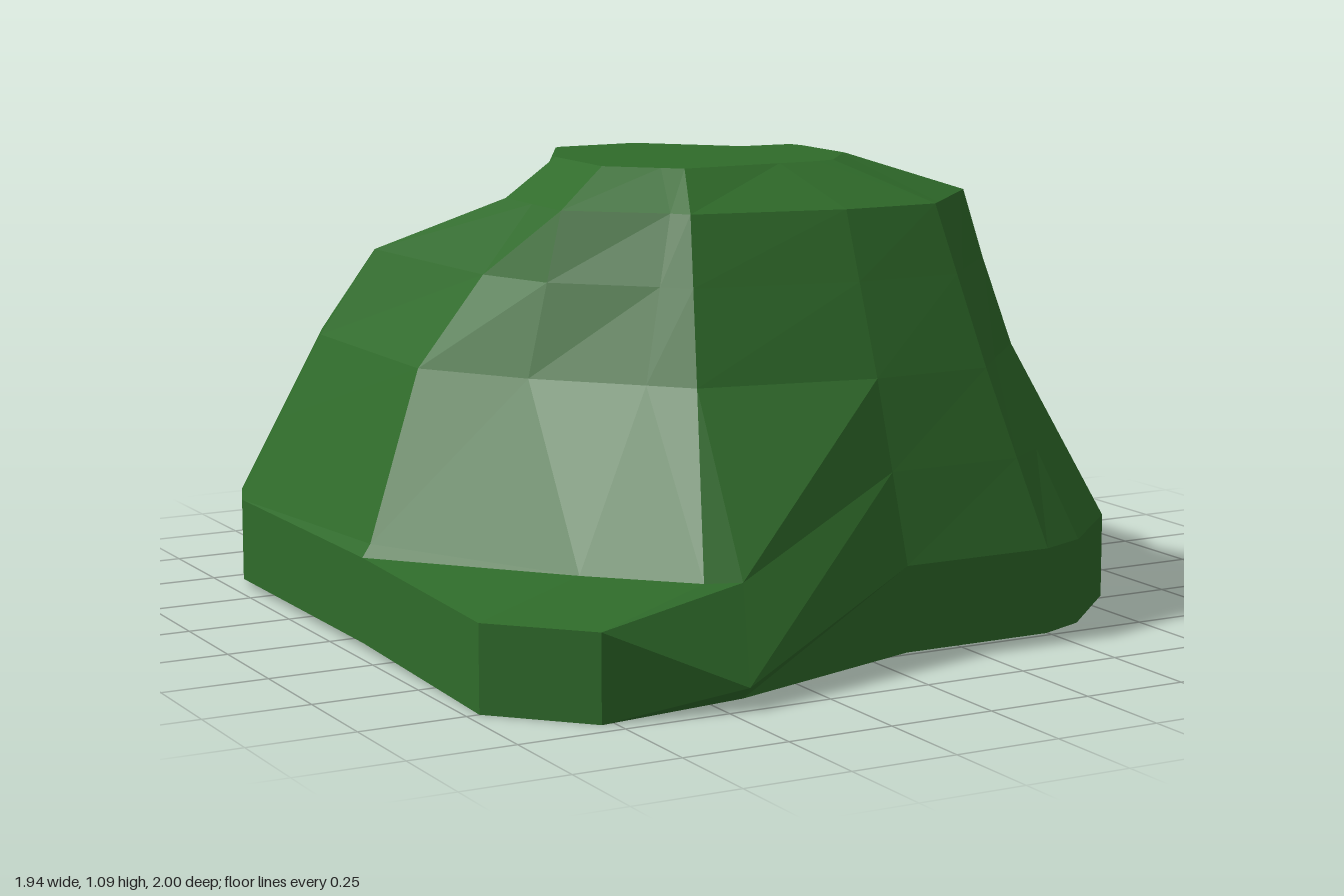
import * as THREE from 'three';

// A ring is a list of points; pts holds [x, z] or [x, z, y], y being the height by default
const ring = (y, pts) => pts.map(([x, z, h = y]) => new THREE.Vector3(x, h, z));

// Ring between two others, with some points replaced by index
function between(a, b, t, changes) {
  const r = a.map((p, i) => p.clone().lerp(b[i], t));
  for (const i in changes) r[i].set(...changes[i]);
  return r;
}

// Skin the rings from bottom to top and close both ends with a fan
function loft(rings) {
  const out = [];
  const tri = (...pts) => pts.forEach((p) => out.push(p.x, p.y, p.z));
  const centre = (r) => r.reduce((s, p) => s.add(p), new THREE.Vector3()).divideScalar(r.length);
  const n = rings[0].length;
  const low = rings[0], high = rings[rings.length - 1];
  const lowMid = centre(low), highMid = centre(high);
  for (let i = 0; i < n; i++) {
    const j = (i + 1) % n;
    for (let k = 0; k < rings.length - 1; k++) {
      const a = rings[k], b = rings[k + 1];
      tri(a[j], a[i], b[i]);
      tri(a[j], b[i], b[j]);
    }
    tri(lowMid, low[i], low[j]);
    tri(highMid, high[j], high[i]);
  }
  const geo = new THREE.BufferGeometry();
  geo.setAttribute('position', new THREE.Float32BufferAttribute(out, 3));
  geo.computeVertexNormals();
  return geo;
}

export function createModel() {
  // Each ring runs from the back right corner over the back, the left side and the front
  const rim = ring(0.22, [
    [-0.97, -0.62], [-0.92, -0.75], [-0.72, -0.95], [-0.6, -1], [-0.2, -1], [0.45, -0.93],
    [0.57, -0.88], [0.97, -0.46], [0.97, -0.09], [0.82, 0.43], [0.78, 0.55], [0.57, 0.75],
    [0.45, 0.8], [0.07, 0.8], [-0.45, 1, 0.05], [-0.78, 0.95, 0.2], [-0.97, 0.75, 0.2], [-0.97, 0.13],
  ]);
  const waist = ring(0.63, [
    [-0.79, -0.53], [-0.75, -0.62], [-0.6, -0.77], [-0.52, -0.82], [-0.2, -0.82], [0.37, -0.76],
    [0.48, -0.72], [0.79, -0.37], [0.79, -0.09], [0.64, 0.33], [0.61, 0.4], [0.45, 0.57],
    [0.36, 0.67], [0.06, 0.68], [-0.36, 0.6], [-0.44, 0.51], [-0.63, 0.3], [-0.79, 0.05],
  ]);
  const brow = ring(1, [
    [-0.52, -0.04], [-0.42, -0.2, 0.94], [-0.36, -0.27, 0.92], [-0.27, -0.36, 0.92],
    [-0.1, -0.36, 0.92], [0.1, -0.36, 0.92], [0.13, -0.25, 0.92], [0.25, -0.21, 0.92],
    [0.52, -0.17, 0.86], [0.52, 0.32], [0.5, 0.34], [0.32, 0.52], [0.3, 0.54], [0.06, 0.54],
    [-0.3, 0.46], [-0.33, 0.42], [-0.52, 0.25], [-0.52, 0.1],
  ]);
  const crown = ring(1.09, [
    [-0.39, -0.04], [-0.34, -0.14], [-0.29, -0.24], [-0.27, -0.25], [-0.15, -0.25], [-0.07, -0.25],
    [0.12, -0.05], [0.25, -0.04], [0.26, 0], [0.26, 0.2], [0.24, 0.22], [0.15, 0.33],
    [0.1, 0.34], [0, 0.34], [-0.25, 0.34], [-0.29, 0.3], [-0.39, 0.2], [-0.39, 0.1],
  ]);

  // Base: below the rim, cut in at the back left corner
  const base = between(rim, rim, 0, {
    5: [0.32, 0.02, -0.86], 7: [0.83, 0.02, -0.55], 8: [0.83, 0.02, 0.04],
    14: [-0.45, 0.02, 0.97], 15: [-0.78, 0, 0.95], 16: [-0.97, 0, 0.75],
  });
  base.forEach((p) => { p.y = Math.min(p.y, 0.02); });

  // Inner edge of the flat lobe at the front right corner
  const lobe = between(rim, waist, 0.5, {
    14: [-0.4, 0.25, 0.88], 15: [-0.48, 0.25, 0.85], 16: [-0.68, 0.25, 0.65], 17: [-0.95, 0.25, 0.13],
  });

  // Shoulder: wide at the back, straight slope at the front
  const shoulder = between(waist, brow, 0.57, {
    0: [-0.67, 0.84, -0.47], 1: [-0.63, 0.84, -0.51], 2: [-0.5, 0.84, -0.64],
    3: [-0.45, 0.84, -0.69], 4: [-0.2, 0.84, -0.69], 5: [0.3, 0.84, -0.61],
    6: [0.35, 0.84, -0.57], 7: [0.52, 0.84, -0.39], 8: [0.56, 0.81, -0.16],
  });

  const material = new THREE.MeshStandardMaterial({ color: 0x2f6b2a, flatShading: true });
  const bush = new THREE.Mesh(loft([base, rim, lobe, waist, shoulder, brow, crown]), material);
  bush.name = 'bush';
  const group = new THREE.Group();
  group.name = 'lowPolyBush';
  group.add(bush);
  return group;
}
